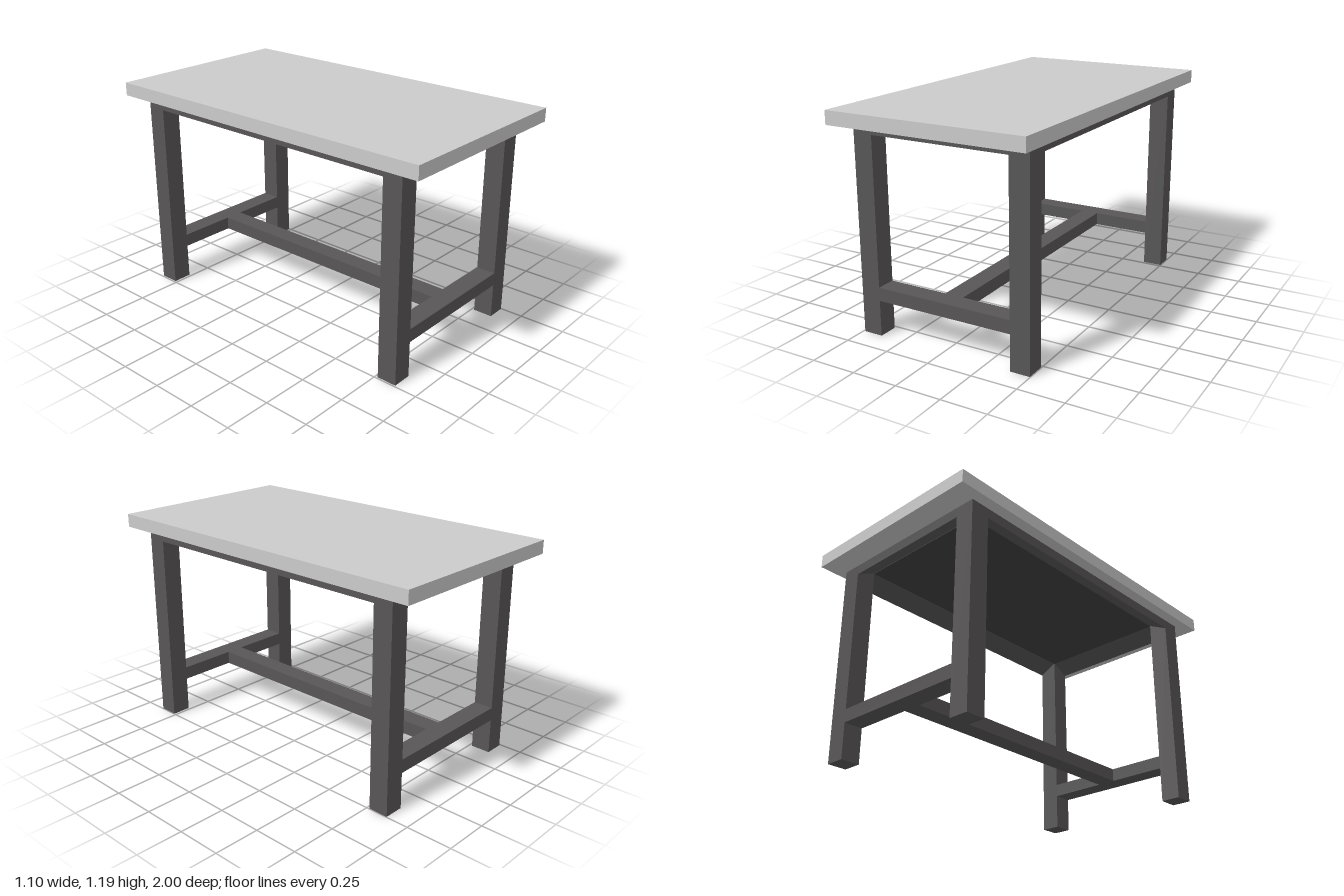
import * as THREE from 'three';

export function createModel() {
  const model = new THREE.Group();
  const grey = new THREE.MeshStandardMaterial({ color: 0xb8b8b8 });
  grey.color.set(0xcccccc);
  const dark = new THREE.MeshStandardMaterial({ color: 0x585656 });
  const darker = new THREE.MeshStandardMaterial({ color: 0x424242 });

  const add = (parent, name, geometry, material) => {
    const mesh = new THREE.Mesh(geometry, material);
    mesh.name = name;
    parent.add(mesh);
    return mesh;
  };
  const box = (parent, name, size, pos, material = dark) =>
    add(parent, name, new THREE.BoxGeometry(...size), material).position.set(...pos);

  // Heights and leg frame dimensions
  const topY = 1.19, underY = 1.117, apronY = 1.062;
  const leg = 0.108, outX = 0.494, outZ = 0.873;
  const inX = outX - leg, inZ = outZ - leg;

  // Table top
  box(model, 'tableTop', [1.104, topY - underY, 2], [0, (topY + underY) / 2, 0], grey);

  const frame = new THREE.Group();
  frame.name = 'frame';
  frame.position.x = 0.003;
  model.add(frame);

  // Four square legs
  for (const sx of [-1, 1]) for (const sz of [-1, 1]) {
    box(frame, 'leg', [leg, underY, leg], [sx * (outX - leg / 2), underY / 2, sz * (outZ - leg / 2)]);
  }

  // Aprons: wedge section, upright outside, sloping up to the panel inside
  const apron = (length, outer, angle) => {
    const section = new THREE.Shape([
      new THREE.Vector2(outer, apronY),
      new THREE.Vector2(outer, underY),
      new THREE.Vector2(outer - leg, underY),
    ]);
    const geometry = new THREE.ExtrudeGeometry(section, { depth: length, bevelEnabled: false });
    geometry.translate(0, 0, -length / 2);
    add(frame, 'apron', geometry, dark).rotation.y = angle;
  };
  for (const turn of [0, Math.PI]) {
    apron(2 * inZ, outX, turn);
    apron(2 * inX, outZ, turn + Math.PI / 2);
  }

  // Dark panel under the top, inside the aprons
  box(frame, 'underPanel', [2 * inX, 0.004, 2 * inZ], [0, underY - 0.002, 0], darker);

  // H-shaped stretcher
  const barH = 0.073, barY = 0.231;
  for (const sz of [-1, 1]) {
    box(frame, 'endStretcher', [2 * inX, barH, leg], [0, barY, sz * (outZ - leg / 2)]);
  }
  box(frame, 'longStretcher', [0.106, barH, 2 * inZ], [0, barY, 0]);

  return model;
}
